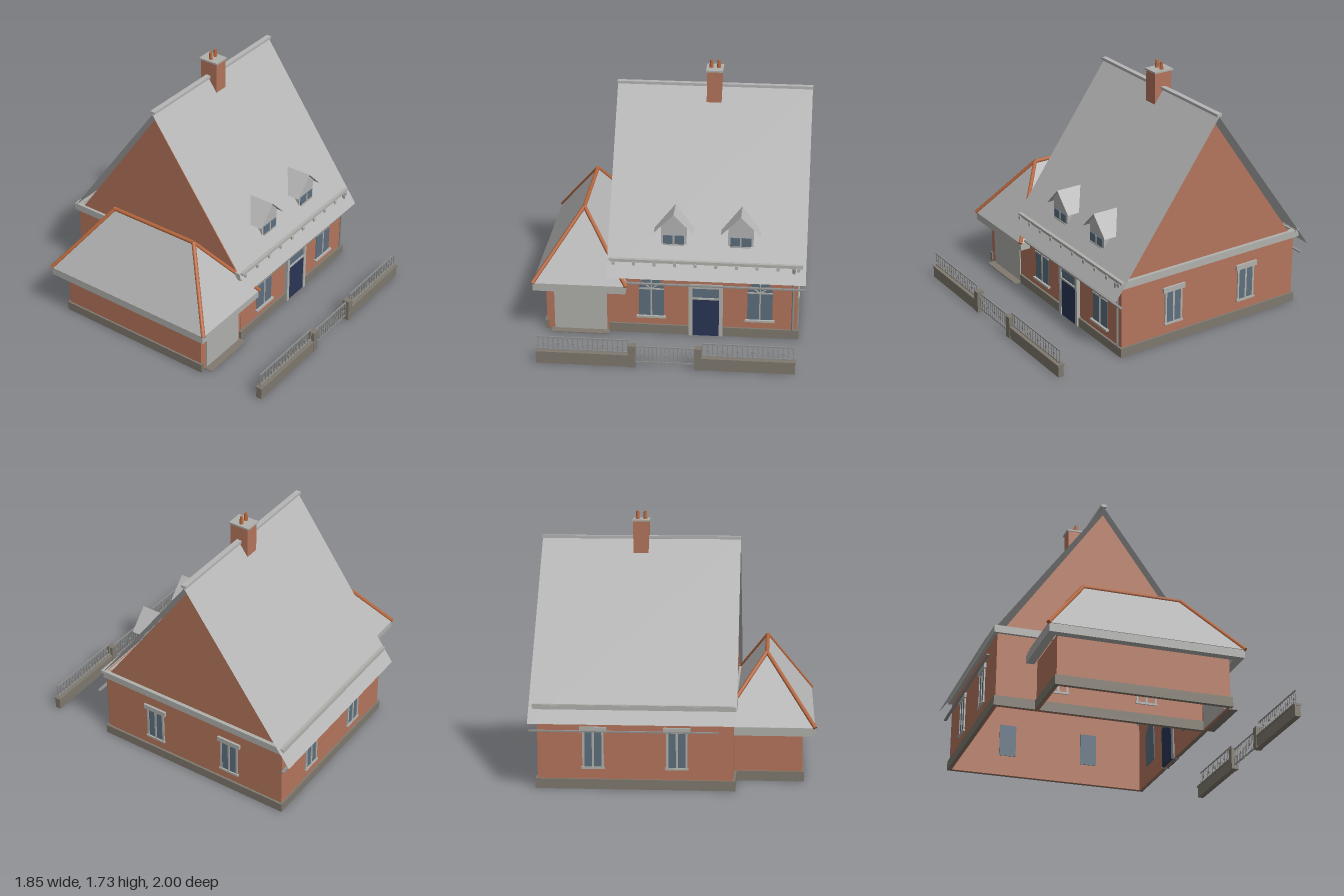
import * as THREE from 'three';

const mat = (name, color, side = THREE.FrontSide) => {
  const m = new THREE.MeshStandardMaterial({ color, side });
  m.name = name;
  return m;
};

export function createModel() {
  const brick = mat('brick', 0xb4755c);
  const slate = mat('pale slate', 0xb6b5b5, THREE.DoubleSide);
  const trim = mat('stone trim', 0xb0b0ad);
  const plinth = mat('plinth stone', 0x7f796e);
  const tile = mat('ridge tile', 0xb8683f);
  const glass = mat('window glass', 0x5d6f7e);
  const doorBlue = mat('door blue', 0x2a3655);
  const iron = mat('railing metal', 0x8f908e);

  const house = new THREE.Group();
  house.name = 'house';
  const add = (name, geo, material, parent = house) => {
    const m = new THREE.Mesh(geo, material);
    m.name = name;
    parent.add(m);
    return m;
  };
  const group = (name, parent = house) => {
    const g = new THREE.Group();
    g.name = name;
    parent.add(g);
    return g;
  };
  // Box given by its lower and upper limits on each axis
  const box = (name, x0, x1, y0, y1, z0, z1, material, parent) =>
    add(name, new THREE.BoxGeometry(x1 - x0, y1 - y0, z1 - z0)
      .translate((x0 + x1) / 2, (y0 + y1) / 2, (z0 + z1) / 2), material, parent);
  // Open rectangular frame of walls, no floor or lid
  const ring = (name, x0, x1, y0, y1, z0, z1, t, material) => {
    const s = new THREE.Shape([[x0, -z0], [x0, -z1], [x1, -z1], [x1, -z0]].map(p => new THREE.Vector2(...p)));
    s.holes.push(new THREE.Path([[x0 + t, -z0 - t], [x1 - t, -z0 - t], [x1 - t, -z1 + t], [x0 + t, -z1 + t]]
      .map(p => new THREE.Vector2(...p))));
    const g = new THREE.ExtrudeGeometry(s, { depth: y1 - y0, bevelEnabled: false });
    return add(name, g.rotateX(-Math.PI / 2).translate(0, y0, 0), material);
  };
  // Thin sheets, each a convex list of corners
  const sheets = (name, faces, material, parent) => {
    const pos = [];
    for (const f of faces)
      for (let i = 1; i < f.length - 1; i++) pos.push(...f[0], ...f[i], ...f[i + 1]);
    const g = new THREE.BufferGeometry();
    g.setAttribute('position', new THREE.Float32BufferAttribute(pos, 3));
    g.computeVertexNormals();
    return add(name, g, material, parent);
  };
  const rod = (name, a, b, r, material, parent) => {
    const p = new THREE.Vector3(...a), q = new THREE.Vector3(...b);
    const m = add(name, new THREE.CylinderGeometry(r, r, p.distanceTo(q), 8), material, parent);
    m.position.copy(p).add(q).multiplyScalar(0.5);
    m.quaternion.setFromUnitVectors(new THREE.Vector3(0, 1, 0), q.sub(p).normalize());
    return m;
  };

  // Main walls
  const X0 = -0.39, X1 = 0.87, Z0 = -0.91, Z1 = 0.51, RZ = -0.2;
  ring('mainWalls', X0, X1, 0, 0.55, Z0, Z1, 0.015, brick);
  ring('mainPlinth', X0 - 0.015, X1 + 0.015, 0, 0.065, Z0 - 0.013, Z1 + 0.015, 0.028, plinth);
  ring('cornice', X0 - 0.02, X1 + 0.025, 0.5, 0.55, -0.935, 0.517, 0.04, trim);
  for (const x of [X0, X1 - 0.015]) {
    const tri = new THREE.Shape([[-0.47, 0.55], [0.86, 0.55], [0.2, 1.49]].map(p => new THREE.Vector2(...p)));
    add('gable', new THREE.ExtrudeGeometry(tri, { depth: 0.015, bevelEnabled: false })
      .rotateY(Math.PI / 2).translate(x, 0, 0), brick);
  }

  // Main roof, ridge cap and eaves
  const E0 = -0.413, E1 = 0.922;
  sheets('mainRoof', [
    [[E0, 0.44, 0.59], [E1, 0.44, 0.59], [E1, 1.54, RZ], [E0, 1.54, RZ]],
    [[E1, 0.44, -0.995], [E0, 0.44, -0.995], [E0, 1.54, RZ], [E1, 1.54, RZ]],
  ], slate);
  box('ridgeCap', E0 - 0.002, E1 + 0.003, 1.543, 1.562, RZ - 0.018, RZ + 0.018, slate);
  for (const s of [1, -1]) {
    const z = RZ + s * 0.72;
    box('roofGutter', -0.395, 0.9, 0.535, 0.555, z - 0.012, z + 0.012, trim);
    for (let i = 0; i < 10; i++) {
      const x = -0.37 + i * 0.138;
      box('gutterBracket', x - 0.01, x + 0.01, 0.515, 0.54, z - 0.002, z + 0.02, trim);
    }
    const e = RZ + s * 0.745;
    box('eaveRail', -0.3, 0.92, 0.381, 0.389, e - 0.01, e + 0.01, iron);
  }
  rod('downpipe', [0.842, 0.07, 0.525], [0.842, 0.51, 0.525], 0.008, iron);
  rod('pipeHead', [0.842, 0.5, 0.535], [0.842, 0.535, 0.535], 0.012, iron);

  // Chimney
  const chimney = group('chimney');
  box('stack', 0.203, 0.305, 1.4, 1.665, -0.264, -0.132, brick, chimney);
  box('chimneyCap', 0.196, 0.312, 1.663, 1.675, -0.275, -0.125, trim, chimney);
  for (const x of [0.229, 0.28])
    add('chimneyPot', new THREE.CylinderGeometry(0.01, 0.014, 0.055, 12).translate(x, 1.7, RZ), tile, chimney);

  // Dormers
  for (const x of [0.03, 0.48]) {
    const d = group('dormer');
    d.position.x = x;
    for (const s of [1, -1]) {
      sheets('dormerRoof', [[[0, 0.865, 0.47], [s * 0.133, 0.73, 0.47], [s * 0.133, 0.73, 0.38], [0, 0.865, 0.283]]], slate, d);
      sheets('dormerCheek', [[[s * 0.085, 0.63, 0.445], [s * 0.085, 0.775, 0.445], [s * 0.085, 0.775, 0.34]]], slate, d);
    }
    sheets('dormerFront', [[[-0.085, 0.63, 0.445], [0.085, 0.63, 0.445], [0.085, 0.775, 0.445], [0, 0.86, 0.445], [-0.085, 0.775, 0.445]]], slate, d);
    box('dormerGlass', -0.07, 0.07, 0.64, 0.705, 0.438, 0.452, glass, d);
    box('dormerMullion', -0.006, 0.006, 0.635, 0.705, 0.45, 0.456, trim, d);
    box('dormerSill', -0.07, 0.07, 0.636, 0.644, 0.45, 0.457, trim, d);
  }

  // Plain windows on the sides and back, built facing +z
  const plainWindow = (x, z, turn) => {
    const w = group('window');
    w.position.set(x, 0, z);
    w.rotation.y = turn;
    box('glass', -0.06, 0.06, 0.145, 0.375, -0.02, 0.004, glass, w);
    for (const s of [-0.062, 0, 0.062]) box('frameBar', s - 0.007, s + 0.007, 0.14, 0.375, -0.002, 0.009, trim, w);
    box('lintel', -0.087, 0.087, 0.373, 0.408, -0.01, 0.016, trim, w);
    box('sill', -0.075, 0.075, 0.132, 0.146, -0.01, 0.014, trim, w);
  };
  for (const z of [0.1, -0.5]) {
    plainWindow(X1, z, Math.PI / 2);
    plainWindow(X0, z, -Math.PI / 2);
  }
  for (const x of [0.51, -0.03]) plainWindow(x, Z0, Math.PI);

  // Arched front windows
  const arch = (r, y0, yc) => {
    const s = new THREE.Shape();
    s.moveTo(-r, y0);
    s.lineTo(r, y0);
    s.lineTo(r, yc);
    s.absarc(0, yc, r, 0, Math.PI, false);
    s.lineTo(-r, y0);
    return s;
  };
  for (const x of [-0.115, 0.62]) {
    const w = group('archedWindow');
    w.position.set(x, 0, Z1);
    const pane = new THREE.ExtrudeGeometry(arch(0.085, 0.13, 0.335), { depth: 0.024, bevelEnabled: false, curveSegments: 16 });
    add('archGlass', pane.translate(0, 0, -0.02), glass, w);
    box('transom', -0.085, 0.085, 0.329, 0.339, 0, 0.009, trim, w);
    box('mullion', -0.005, 0.005, 0.13, 0.335, 0, 0.009, trim, w);
    for (const a of [-0.95, 0, 0.95]) {
      const spoke = add('spoke', new THREE.BoxGeometry(0.007, 0.08, 0.008).translate(0, 0.04, 0.005), trim, w);
      spoke.position.y = 0.335;
      spoke.rotation.z = a;
    }
    box('archSill', -0.1, 0.1, 0.118, 0.132, -0.005, 0.02, trim, w);
  }

  // Front door
  const door = group('frontDoor');
  box('doorLeaf', 0.165, 0.345, 0, 0.28, 0.48, 0.53, doorBlue, door);
  box('transomGlass', 0.165, 0.345, 0.285, 0.36, 0.48, 0.526, glass, door);
  box('doorRail', 0.165, 0.345, 0.275, 0.287, 0.5, 0.535, trim, door);
  for (const x of [0.14, 0.345]) box('doorJamb', x, x + 0.025, 0, 0.38, 0.49, 0.536, trim, door);
  box('doorHead', 0.14, 0.37, 0.358, 0.38, 0.49, 0.536, trim, door);

  // Side wing
  ring('wingWalls', -0.835, -0.38, 0, 0.34, -0.64, 0.508, 0.015, brick);
  box('wingPlinthSide', -0.848, -0.82, 0, 0.065, -0.653, 0.52, plinth);
  box('wingPlinthBack', -0.848, -0.39, 0, 0.065, -0.653, -0.63, plinth);
  box('garageDoor', -0.78, -0.42, 0.005, 0.32, 0.488, 0.516, trim);
  box('garageStep', -0.8, -0.4, 0, 0.006, 0.5, 0.57, plinth);
  box('wingInnerWindow', -0.822, -0.816, 0.2, 0.31, -0.11, 0.01, glass);
  ring('wingFascia', -0.915, -0.285, 0.317, 0.372, -0.715, 0.583, 0.055, trim);

  // Hipped wing roof with tiled ridges
  const L = -0.915, R = -0.28, F = 0.588, B = -0.72, RX = -0.595, EY = 0.375, TY = 0.815;
  const f = [RX, TY, 0.27], b = [RX, TY, -0.4];
  const fl = [L, EY, F], fr = [R, EY, F], bl = [L, EY, B], br = [R, EY, B];
  sheets('wingRoof', [[fl, fr, f], [br, bl, b], [bl, fl, f, b], [fr, br, b, f]], slate);
  for (const [p, q] of [[f, b], [fl, f], [fr, f], [bl, b], [br, b]]) rod('hipTile', p, q, 0.014, tile);

  // Garden wall with railings and gate
  const fence = group('gardenFence');
  const ZF = 0.975;
  const railing = (name, x0, x1, y0, y1, n) => {
    const g = group(name, fence);
    for (const y of [y0 + 0.012, y1]) box('rail', x0, x1, y - 0.005, y + 0.003, ZF - 0.004, ZF + 0.004, iron, g);
    for (let i = 0; i <= n; i++) {
      const x = x0 + 0.004 + (x1 - x0 - 0.008) * i / n;
      box('bar', x - 0.003, x + 0.003, y0, y1, ZF - 0.003, ZF + 0.003, iron, g);
      if (i % 3 === 1)
        box('ornament', x - 0.01, x + 0.01, (y0 + y1) / 2 - 0.006, (y0 + y1) / 2 + 0.008, ZF - 0.004, ZF + 0.004, iron, g);
    }
  };
  for (const [x0, x1] of [[-0.83, -0.2], [0.24, 0.872]]) {
    box('gardenWall', x0, x1, 0, 0.075, 0.955, 0.995, plinth, fence);
    box('coping', x0 - 0.004, x1 + 0.004, 0.075, 0.088, 0.95, 1, plinth, fence);
  }
  railing('leftRailing', -0.82, -0.22, 0.088, 0.187, 18);
  railing('rightRailing', 0.262, 0.862, 0.088, 0.187, 18);
  railing('gate', -0.172, 0.216, 0.02, 0.145, 14);
  for (const x of [-0.196, 0.238]) box('gatePost', x - 0.024, x + 0.024, 0, 0.155, 0.95, 1, plinth, fence);

  return house;
}
